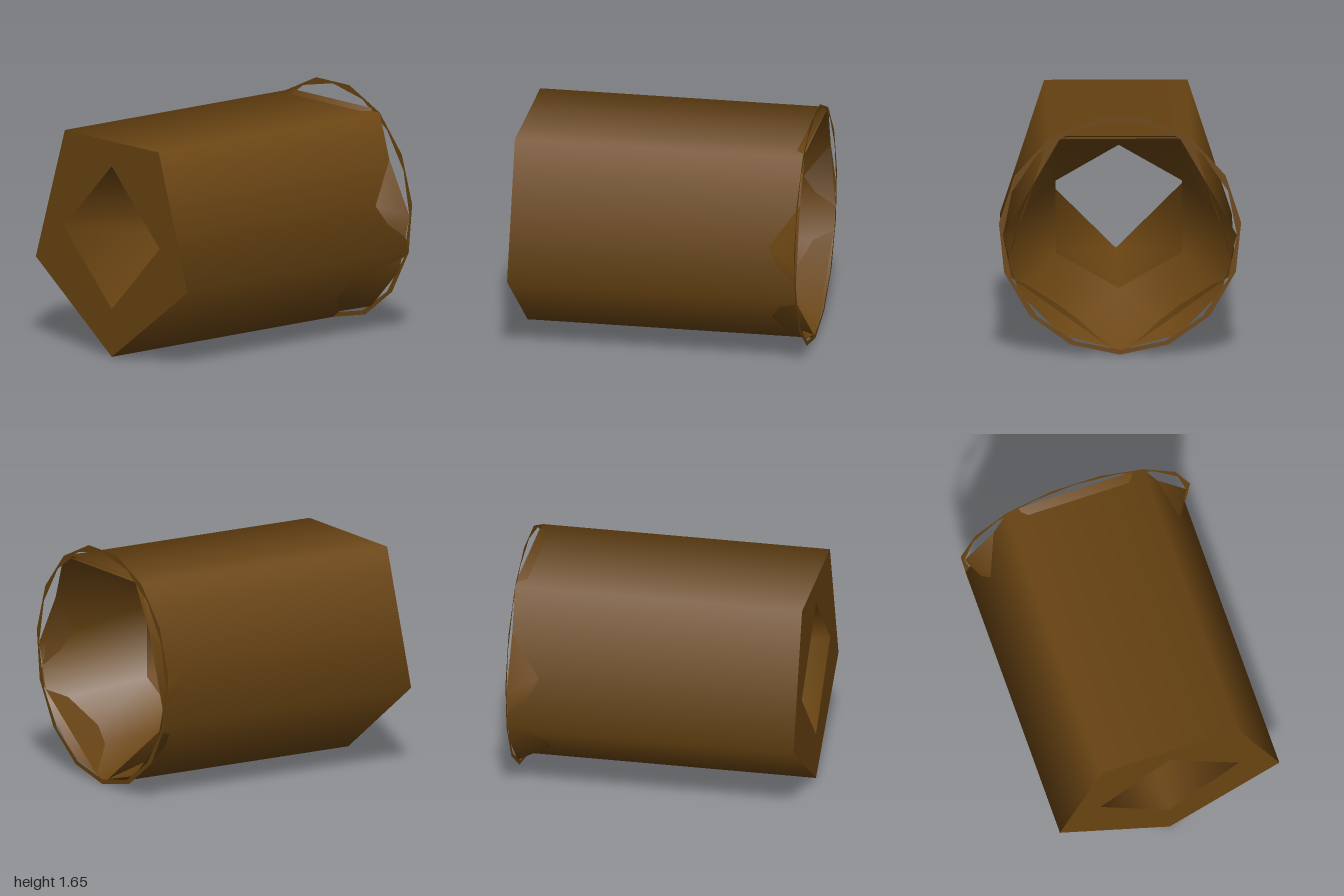
import * as THREE from 'three';

const CY = 0.833;     // height of the axis
const R = 0.833;      // outer radius
const HOLE_Z = -0.36; // where the bore meets the flared mouth

const ring = (n, start) => Array.from({ length: n }, (_, i) => start + (360 * i) / n);
const points = (angles, r) => angles.map((a) => {
  const t = THREE.MathUtils.degToRad(a);
  return new THREE.Vector2(r * Math.cos(t), r * Math.sin(t));
});

// Flat polygon with a polygonal hole
function plate(outer, hole) {
  const shape = new THREE.Shape(outer);
  shape.holes.push(new THREE.Path(hole));
  return new THREE.ShapeGeometry(shape);
}

// Inward-facing skin between two rings with different numbers of corners
function loft(front, back) {
  const pos = [], index = [];
  for (const s of [front, back]) {
    for (const p of points(s.angles, s.r)) pos.push(p.x, p.y, s.z);
  }
  const a = front.angles, b = back.angles, n = a.length, m = b.length;
  const middle = (l, i) => (i >= l.length ? Infinity
    : (l[i] + (i + 1 < l.length ? l[i + 1] : l[0] + 360)) / 2);
  for (let i = 0, j = 0; i < n || j < m;) {
    if (middle(a, i) <= middle(b, j)) {
      index.push(i % n, (i + 1) % n, n + (j % m));
      i++;
    } else {
      index.push(n + ((j + 1) % m), n + (j % m), i % n);
      j++;
    }
  }
  const g = new THREE.BufferGeometry();
  g.setAttribute('position', new THREE.Float32BufferAttribute(pos, 3));
  g.setIndex(index);
  g.computeVertexNormals();
  return g;
}

export function createModel() {
  const group = new THREE.Group();
  group.name = 'hollowTube';
  const material = new THREE.MeshStandardMaterial({ color: 0x6b4512, side: THREE.DoubleSide });
  const add = (name, geometry, z = 0) => {
    const mesh = new THREE.Mesh(geometry, material);
    mesh.name = name;
    mesh.position.set(0, CY, z);
    group.add(mesh);
  };

  // Five-sided outer wall, smooth shaded, one corner at the bottom
  add('outerWall', new THREE.CylinderGeometry(R, R, 2, 5, 1, true).rotateX(Math.PI / 2));

  // Front face with a diamond opening
  add('frontFace', plate(points(ring(5, -90), R), points(ring(4, 0), 0.5)), 1);

  // Thin rim around the back
  add('backRim', plate(points(ring(15, -90), R), points(ring(16, 0), 0.8)).rotateY(Math.PI), -1);

  // Bore running from the diamond to a hexagon
  const hexagon = { angles: ring(6, 30), r: 0.5, z: HOLE_Z };
  add('bore', loft({ angles: ring(4, 0), r: 0.5, z: 1 }, hexagon));

  // Mouth flaring out to the back, with finer facets along its lower half
  const mouth = [0, 60, 120, 180, 210, 240, 270, 300, 330];
  add('flaredMouth', loft(hexagon, { angles: mouth, r: 0.8, z: -1 }));

  return group;
}
